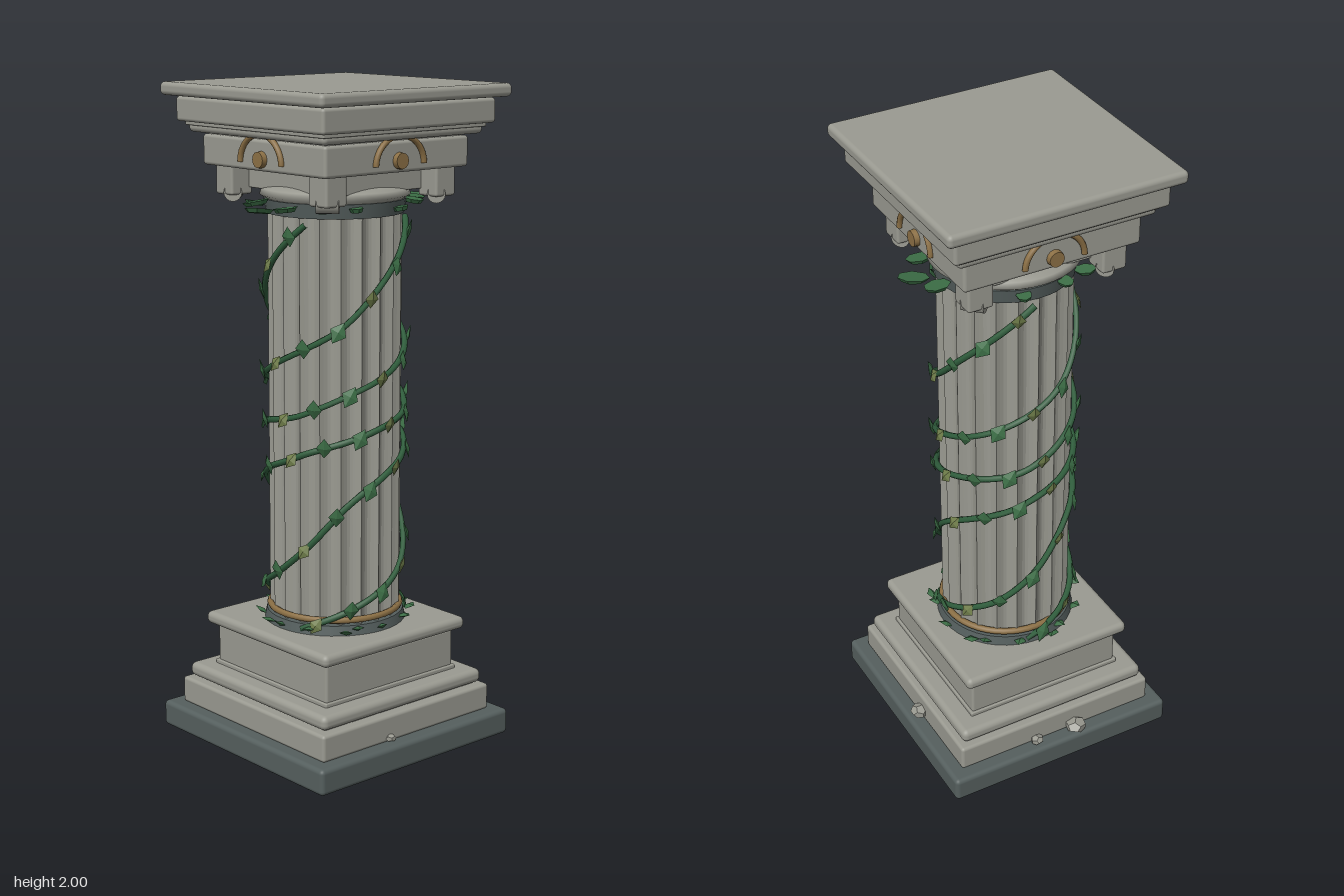
import * as THREE from 'three';
import { RoundedBoxGeometry } from 'three/addons/geometries/RoundedBoxGeometry.js';

const paint = (name, color, extra = {}) =>
  Object.assign(new THREE.MeshStandardMaterial({ color, ...extra }), { name });

export function createModel() {
  const model = new THREE.Group();
  model.name = 'vineColumn';
  const stone = paint('stone', 0x9a9a91);
  const facetStone = paint('facetedStone', 0x9a9a91, { flatShading: true });
  const slate = paint('slate', 0x555f5e);
  const bronze = paint('bronze', 0x8c7045);
  const vineGreen = paint('vineGreen', 0x305e3d);
  const leafGreen = paint('leafGreen', 0x3c6e46, { flatShading: true });
  const leafOlive = paint('leafOlive', 0x6f7d4a, { flatShading: true });

  const add = (name, geometry, material, parent = model) => {
    const mesh = new THREE.Mesh(geometry, material);
    mesh.name = name;
    parent.add(mesh);
    return mesh;
  };
  const rad = THREE.MathUtils.degToRad;
  const around = (deg, r, y) =>
    new THREE.Vector3(Math.sin(rad(deg)) * r, y, Math.cos(rad(deg)) * r);

  // Square slabs: name, half width, bottom, top, corner radius, material
  const slabs = [
    ['groundSlab', 0.379, 0.012, 0.092, 0.014, slate],
    ['lowerStep', 0.335, 0.09, 0.172, 0.01, stone],
    ['lowerMoulding', 0.32, 0.176, 0.22, 0.018, stone],
    ['lowerSeam', 0.3, 0.165, 0.185, 0.003, stone],
    ['pedestalSeam', 0.262, 0.215, 0.232, 0.004, stone],
    ['pedestal', 0.255, 0.226, 0.346, 0.008, stone],
    ['pedestalCap', 0.283, 0.348, 0.387, 0.017, stone],
    ['pedestalCapSeam', 0.24, 0.34, 0.352, 0.003, stone],
    ['capitalCore', 0.185, 1.695, 1.765, 0.004, stone],
    ['capitalBlock', 0.275, 1.76, 1.85, 0.01, stone],
    ['capitalSeam', 0.26, 1.845, 1.86, 0.003, stone],
    ['capitalMoulding', 0.305, 1.855, 1.884, 0.014, stone],
    ['cornice', 0.33, 1.886, 1.958, 0.01, stone],
    ['corniceSeam', 0.31, 1.875, 1.965, 0.003, stone],
    ['topSlab', 0.364, 1.961, 2.0, 0.014, stone],
  ];
  for (const [name, half, y0, y1, r, material] of slabs) {
    add(name, new RoundedBoxGeometry(half * 2, y1 - y0, half * 2, 3, r), material)
      .position.y = (y0 + y1) / 2;
  }

  // Fluted shaft
  const flutes = 20, steps = 6, outline = [];
  for (let i = 0; i < flutes * steps; i++) {
    const a = (i / (flutes * steps)) * Math.PI * 2;
    const r = 0.198 - 0.018 * Math.sin(((i % steps) / steps) * Math.PI);
    outline.push(new THREE.Vector2(Math.cos(a) * r, Math.sin(a) * r));
  }
  const shaft = new THREE.ExtrudeGeometry(new THREE.Shape(outline), {
    depth: 1.24, bevelEnabled: false,
  });
  shaft.rotateX(-Math.PI / 2);
  add('flutedShaft', shaft, stone).position.y = 0.4;

  // Collars at both ends of the shaft
  add('bottomCollar', new THREE.CylinderGeometry(0.208, 0.215, 0.032, 40), slate).position.y = 0.4;
  const band = add('bronzeBand', new THREE.TorusGeometry(0.197, 0.01, 8, 48), bronze);
  band.rotation.x = Math.PI / 2;
  band.position.y = 0.43;
  add('topCollar', new THREE.CylinderGeometry(0.21, 0.203, 0.042, 40), slate).position.y = 1.648;
  const echinus = [[0, 1.665], [0.2, 1.665], [0.222, 1.68], [0.215, 1.698], [0.185, 1.71], [0, 1.71]];
  add('echinus', new THREE.LatheGeometry(echinus.map((p) => new THREE.Vector2(...p)), 40), stone);

  // Corner brackets with scrolls
  for (const x of [-1, 1]) for (const z of [-1, 1]) {
    const bracket = new THREE.Group();
    bracket.name = 'cornerBracket';
    bracket.position.set(x * 0.21, 0, z * 0.21);
    model.add(bracket);
    add('bracketBlock', new RoundedBoxGeometry(0.078, 0.09, 0.078, 2, 0.008), stone, bracket)
      .position.y = 1.72;
    const scroll = add('scroll', new THREE.CylinderGeometry(0.027, 0.027, 0.065, 16), stone, bracket);
    scroll.rotation.set(0, Math.atan2(x, z), Math.PI / 2, 'YXZ');
    scroll.position.y = 1.682;
  }

  // Bronze arch and boss on each face of the capital
  for (let i = 0; i < 4; i++) {
    const face = new THREE.Group();
    face.name = 'capitalOrnament';
    face.rotation.y = (i * Math.PI) / 2;
    model.add(face);
    const arch = add('arch', new THREE.TorusGeometry(0.092, 0.009, 8, 24, Math.PI), bronze, face);
    arch.scale.y = 0.9;
    arch.position.set(0, 1.782, 0.279);
    const boss = add('boss', new THREE.CylinderGeometry(0.023, 0.025, 0.022, 12), bronze, face);
    boss.rotation.x = Math.PI / 2;
    boss.position.set(0, 1.794, 0.28);
  }

  // Leaf: a thin diamond turned to face outwards
  const diamond = new THREE.OctahedronGeometry(1);
  const leaf = (deg, r, y, size, tilt, roll, material) => {
    const mesh = add('leaf', diamond, material);
    mesh.position.copy(around(deg, r, y));
    mesh.rotation.set(tilt, rad(deg), roll, 'YXZ');
    mesh.scale.set(size * 0.75, size, 0.007);
  };

  // Three equal vines a third of a turn apart; knots are [angle in degrees, height]
  const knots = [[-70, 0.4], [-30, 0.46], [0, 0.51], [25, 0.56], [55, 0.65], [90, 0.785],
    [120, 0.855], [155, 0.907], [180, 0.945], [210, 0.978], [240, 1.008], [285, 1.045],
    [305, 1.075], [330, 1.115], [360, 1.157], [395, 1.215], [435, 1.29], [450, 1.33],
    [480, 1.435], [515, 1.55], [535, 1.61]];
  const track = new THREE.CatmullRomCurve3(
    knots.map(([d, y]) => new THREE.Vector3(d / 100, y, 0)), false, 'centripetal');
  const stem = new THREE.TubeGeometry(new THREE.CatmullRomCurve3(
    track.getPoints(90).map((p) => around(p.x * 100, 0.207, p.y))), 220, 0.0095, 6);
  for (let v = 0; v < 3; v++) {
    add('vine', stem, vineGreen).rotation.y = rad(v * 120);
    const count = 22;
    for (let i = 0; i < count; i++) {
      const p = track.getPointAt((i + 0.5) / count);
      const side = i % 2 ? 1 : -1;
      leaf(p.x * 100 + v * 120, 0.218, p.y + 0.003 * side, 0.029 + 0.003 * ((i + v) % 3),
        0.25 * side, -0.3 + 0.25 * side, (i + v) % 3 === 0 ? leafOlive : leafGreen);
    }
  }

  // Leaf wreath around the foot of the shaft
  for (let i = 0; i < 16; i++) {
    leaf(i * 22.5 + 6 * (i % 3), 0.215 + 0.008 * (i % 3), 0.402 + 0.006 * (i % 2), 0.026,
      1.1 + 0.25 * (i % 2), 0.5 * (i % 3), leafGreen);
  }

  // Broad leaves under the capital: angle, radius, size
  const canopy = [[84, 0.275, 0.048], [102, 0.245, 0.042], [66, 0.24, 0.04], [268, 0.28, 0.046],
    [285, 0.25, 0.042], [250, 0.245, 0.04], [18, 0.22, 0.026], [335, 0.22, 0.026],
    [45, 0.23, 0.03], [135, 0.245, 0.045], [165, 0.22, 0.028], [200, 0.22, 0.028],
    [225, 0.235, 0.032], [312, 0.235, 0.034]];
  const blade = new THREE.CylinderGeometry(1, 0.75, 1, 7);
  canopy.forEach(([deg, r, size], i) => {
    const mesh = add('canopyLeaf', blade, leafGreen);
    mesh.position.copy(around(deg, r, 1.648 + 0.006 * (i % 3)));
    mesh.rotation.set(0.15 * ((i % 3) - 1), rad(deg), 0.1, 'YXZ');
    mesh.scale.set(size * 0.8, 0.012, size);
  });

  // Broken stone chips: position, then size
  const chips = [[0.345, 0.122, -0.065, 0.028, 0.02, 0.03], [-0.06, 0.112, -0.352, 0.036, 0.02, 0.034],
    [0.075, 0.105, -0.345, 0.02, 0.014, 0.022], [-0.075, 0.102, 0.336, 0.018, 0.012, 0.016],
    [-0.24, 0.012, 0.3, 0.014, 0.012, 0.014], [0.17, 0.012, -0.2, 0.014, 0.012, 0.014]];
  chips.forEach(([x, y, z, sx, sy, sz], i) => {
    const chip = add('stoneChip', new THREE.DodecahedronGeometry(1), facetStone);
    chip.position.set(x, y, z);
    chip.scale.set(sx, sy, sz);
    chip.rotation.y = i * 0.9;
  });

  return model;
}
